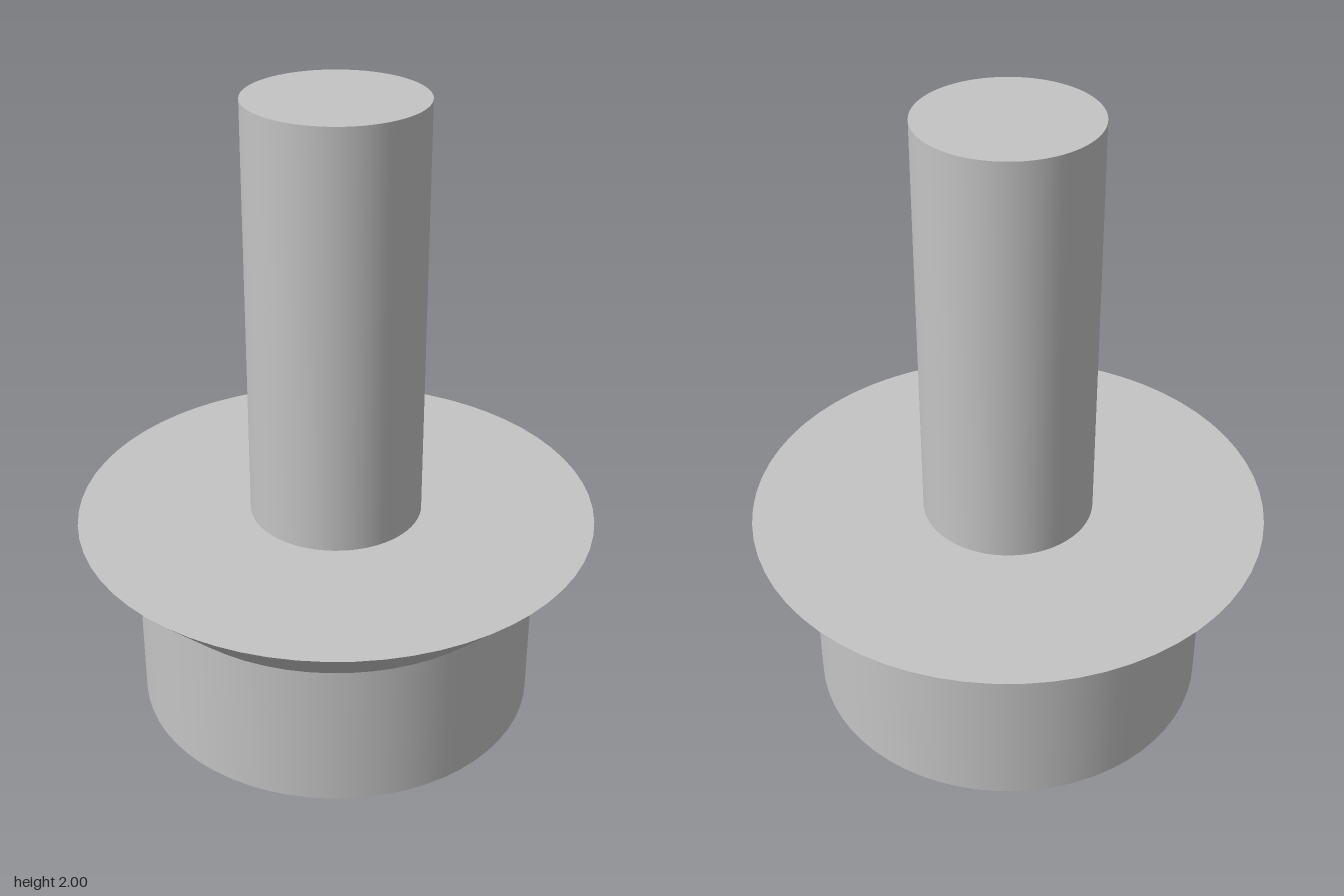
import * as THREE from 'three';

const SEGMENTS = 64;

export function createModel() {
  const model = new THREE.Group();
  model.name = 'flangedStud';
  const grey = new THREE.MeshStandardMaterial({ color: 0xc4c4c4 });
  grey.name = 'plain grey';

  // Round section between two heights, with chosen end caps
  function section(name, rBottom, rTop, y0, y1, caps) {
    const wall = new THREE.CylinderGeometry(rTop, rBottom, y1 - y0, SEGMENTS, 1, true);
    const group = new THREE.Group();
    group.name = name;
    const side = new THREE.Mesh(wall, grey);
    side.name = name + 'Wall';
    side.position.y = (y0 + y1) / 2;
    group.add(side);
    for (const [end, inner, outer] of caps) {
      const shape = inner > 0
        ? new THREE.RingGeometry(inner, outer, SEGMENTS)
        : new THREE.CircleGeometry(outer, SEGMENTS);
      const cap = new THREE.Mesh(shape, grey);
      cap.name = name + (end > 0 ? 'Top' : 'Bottom');
      cap.rotation.x = -end * Math.PI / 2;
      cap.position.y = end > 0 ? y1 : y0;
      group.add(cap);
    }
    model.add(group);
  }

  // Wide foot, 45 degree flared collar and slim shaft
  section('base', 0.643, 0.643, 0, 0.48, [[-1, 0, 0.643]]);
  section('flaredCollar', 0.643, 0.823, 0.48, 0.66, [[1, 0.274, 0.823]]);
  section('shaft', 0.274, 0.274, 0.66, 2, [[1, 0, 0.274]]);

  return model;
}
